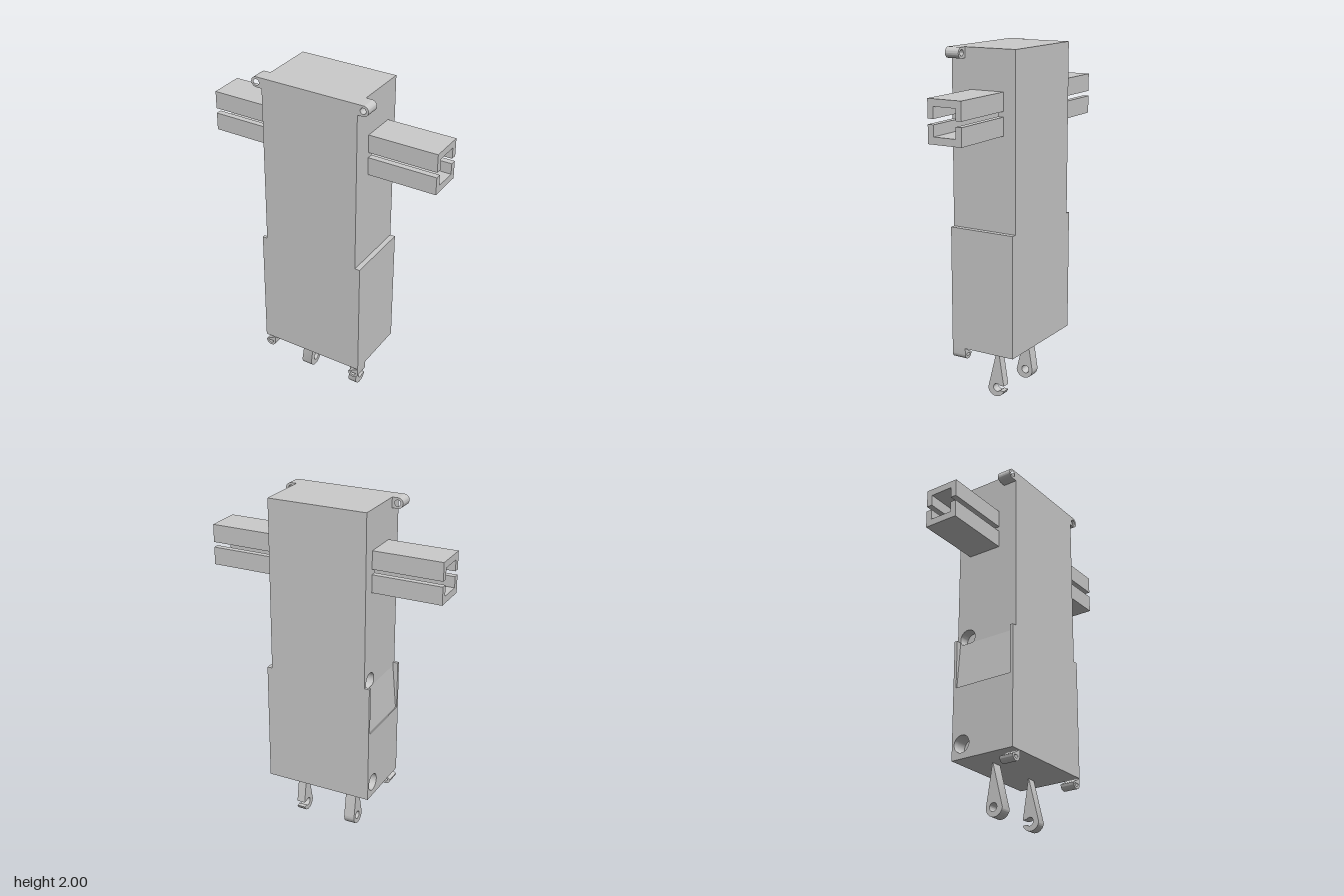
import * as THREE from 'three';
import { toCreasedNormals } from 'three/addons/utils/BufferGeometryUtils.js';

const material = new THREE.MeshStandardMaterial({ color: 0xcccccc });

const poly = (pts) => new THREE.Shape(pts.map(([a, b]) => new THREE.Vector2(a, b)));
const rect = (a0, b0, a1, b1) => poly([[a0, b0], [a1, b0], [a1, b1], [a0, b1]]);
const circle = (a, b, r) => new THREE.Path().absarc(a, b, r, 0, Math.PI * 2, true);
const withHoles = (shape, ...holes) => { shape.holes.push(...holes); return shape; };

export function createModel() {
  const group = new THREE.Group();

  const add = (name, geometry) => {
    const mesh = new THREE.Mesh(toCreasedNormals(geometry, 0.6), material);
    mesh.name = name;
    group.add(mesh);
  };
  const extrude = (shape, depth) =>
    new THREE.ExtrudeGeometry(shape, { depth, bevelEnabled: false, curveSegments: 20 });
  // Outline in (x, y), running from z0 to z1
  const alongZ = (name, shape, z0, z1) => add(name, extrude(shape, z1 - z0).translate(0, 0, z0));
  // Outline in (-z, y), running from x0 to x1
  const alongX = (name, shape, x0, x1) =>
    add(name, extrude(shape, x1 - x0).rotateY(Math.PI / 2).translate(x0, 0, 0));

  // Main body with a square tunnel; the right wall also has two round sockets
  const tunnel = () => rect(-0.045, 1.58, 0.09, 1.735);
  const body = () => withHoles(rect(-0.2, 0.3, 0.2, 2), tunnel());
  const upperSocket = circle(0.13, 1.02, 0.05);
  const lowerSocket = () => circle(0.135, 0.385, 0.05);
  alongX('body', body(), -0.23, 0.29);
  alongX('rightBodyWall', withHoles(body(), upperSocket, lowerSocket()), -0.29, -0.23);

  // Side covers on the lower half; the right one has a shallow sloped recess
  alongX('leftCover', rect(-0.2, 0.3, 0.2, 1.005), 0.29, 0.32);
  alongX('rightCover', withHoles(rect(-0.2, 0.3, 0.2, 0.72), lowerSocket()), -0.32, -0.29);
  alongX('recessFrontRim', rect(-0.2, 0.72, -0.182, 1.005), -0.32, -0.29);
  alongX('recessBackRim', rect(0.182, 0.72, 0.2, 1.005), -0.32, -0.29);
  alongZ('recessSlope', poly([[-0.313, 0.72], [-0.29, 0.72], [-0.29, 0.985]]), -0.182, 0.182);

  for (const s of [1, -1]) {
    const side = s > 0 ? 'left' : 'right';

    // Slotted square arm made of an upper and a lower channel
    const x0 = s > 0 ? 0.29 : -0.69;
    alongX(side + 'ArmUpperChannel', poly([
      [-0.08, 1.672], [-0.045, 1.672], [-0.045, 1.735], [0.09, 1.735],
      [0.09, 1.672], [0.125, 1.672], [0.125, 1.775], [-0.08, 1.775]]), x0, x0 + 0.4);
    alongX(side + 'ArmLowerChannel', poly([
      [-0.08, 1.54], [0.125, 1.54], [0.125, 1.642], [0.09, 1.642],
      [0.09, 1.58], [-0.045, 1.58], [-0.045, 1.642], [-0.08, 1.642]]), x0, x0 + 0.4);

    // Top lug, rounded outward
    const top = new THREE.Shape();
    top.moveTo(s * 0.29, 1.94);
    top.lineTo(s * 0.324, 1.94);
    top.absarc(s * 0.324, 1.97, 0.03, -Math.PI / 2, s > 0 ? Math.PI / 2 : -Math.PI * 1.5, s < 0);
    top.lineTo(s * 0.29, 2);
    alongZ(side + 'TopLug', withHoles(top, circle(s * 0.322, 1.97, 0.017)), 0.115, 0.2);

    // Bottom lug, rounded downward
    const low = new THREE.Shape();
    low.moveTo(s * 0.288 - 0.032, 0.3);
    low.absarc(s * 0.288, 0.264, 0.032, Math.PI, Math.PI * 2, false);
    low.lineTo(s * 0.288 + 0.032, 0.3);
    alongZ(side + 'BottomLug', withHoles(low, circle(s * 0.288, 0.264, 0.017)), 0.115, 0.2);
  }

  // Slanted legs: the right has a closed eye, the left an eye open to the back
  const eye = [0.025, 0.055];
  const tilt = 0.17;
  const rightLeg = new THREE.Shape();
  rightLeg.moveTo(-0.075, 0.31);
  rightLeg.absarc(0.022, 0.054, 0.054, Math.PI + tilt, Math.PI * 2 + tilt, false);
  rightLeg.lineTo(0.035, 0.31);
  alongX('rightLeg', withHoles(rightLeg, circle(eye[0] + 0.004, eye[1], 0.024)), -0.175, -0.11);

  const hook = new THREE.Shape();
  hook.moveTo(-0.075, 0.31);
  hook.absarc(0.022, 0.054, 0.054, Math.PI + tilt, Math.PI * 2 - 0.3, false);
  hook.absarc(eye[0] + 0.004, eye[1], 0.024, -0.7, -Math.PI * 2 + 0.7, true);
  hook.lineTo(0.074, 0.07);
  hook.lineTo(0.035, 0.31);
  alongX('leftLeg', hook, 0.16, 0.21);

  return group;
}
